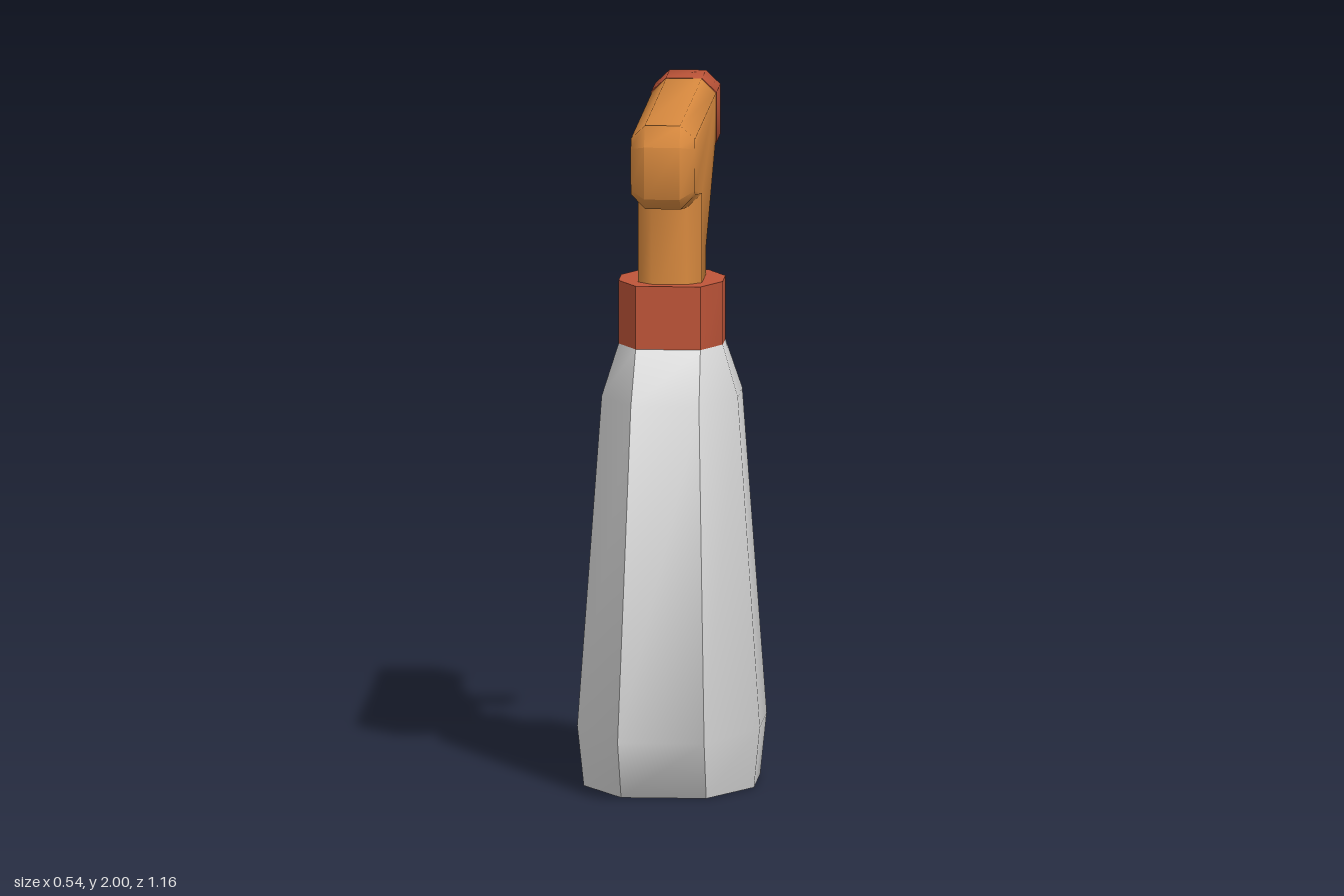
import * as THREE from 'three';
import { toCreasedNormals } from 'three/addons/utils/BufferGeometryUtils.js';

const CREASE = 0.92;

// Octagon at height y: end half width a, side half width b, side half length s, half length l, centre c
function octagon([y, a, b, s, l, c]) {
  return [[b, s], [b, -s], [a, -l], [-a, -l], [-b, -s], [-b, s], [-a, l], [a, l]]
    .map(([x, z]) => [x, y, z + c]);
}

// Closed skin over a stack of octagons, listed from bottom to top
function loft(sections) {
  const n = 8, last = (sections.length - 1) * n, index = [];
  const positions = sections.flatMap(octagon).flat();
  for (let r = 0; r < last; r += n) {
    for (let i = 0; i < n; i++) {
      const j = (i + 1) % n;
      index.push(r + i, r + j, r + n + j, r + i, r + n + j, r + n + i);
    }
  }
  for (let i = 1; i < n - 1; i++) index.push(0, i + 1, i, last, last + i, last + i + 1);
  const g = new THREE.BufferGeometry();
  g.setAttribute('position', new THREE.Float32BufferAttribute(positions, 3));
  g.setIndex(index);
  return toCreasedNormals(g, CREASE);
}

// Side outline given as [z, y], extruded symmetrically across x
function sidePlate(points, width, bevel = 0) {
  const shape = new THREE.Shape(points.map(([z, y]) => new THREE.Vector2(z, y)));
  const depth = width - 2 * bevel;
  const g = new THREE.ExtrudeGeometry(shape, {
    depth, bevelEnabled: bevel > 0, bevelThickness: bevel,
    bevelSize: bevel, bevelOffset: -bevel, bevelSegments: 1,
  });
  g.translate(0, 0, -depth / 2);
  g.rotateY(-Math.PI / 2);
  return toCreasedNormals(g, CREASE);
}

export function createModel() {
  const mat = (name, color) => {
    const m = new THREE.MeshStandardMaterial({ color });
    m.name = name;
    return m;
  };
  const white = mat('bottleWhite', 0xdcdcdc);
  const orange = mat('headOrange', 0xd98a3f);
  const red = mat('trimRed', 0xbf5539);

  const model = new THREE.Group();
  model.name = 'sprayBottle';
  const add = (name, geometry, material) => {
    const mesh = new THREE.Mesh(geometry, material);
    mesh.name = name;
    model.add(mesh);
  };

  // Tapered bottle with a chamfered foot and shoulder
  add('bottle', loft([
    [0, 0.125, 0.25, 0.13, 0.352, 0.112],
    [0.18, 0.127, 0.268, 0.146, 0.469, 0.112],
    [1.15, 0.1, 0.2, 0.094, 0.298, 0.112],
    [1.3, 0.095, 0.153, 0.056, 0.168, 0.112],
  ]), white);

  // Screw collar
  add('collar', loft([
    [1.3, 0.095, 0.153, 0.056, 0.168, 0.112],
    [1.487, 0.095, 0.153, 0.056, 0.168, 0.112],
  ]), red);

  // Barrel, fairing and neck in one piece; the neck runs down into the collar
  add('sprayHead', sidePlate([
    [-0.46, 2], [-0.46, 1.775], [-0.385, 1.775], [-0.01, 1.54], [-0.01, 1.4],
    [0.237, 1.4], [0.237, 1.715], [0.495, 1.75], [0.54, 1.785], [0.546, 1.94], [0.51, 2],
  ].reverse(), 0.188, 0.042), orange);

  // Chamfered end piece sleeved over the barrel
  const tip = loft([
    [0.388, 0.053, 0.096, 0.074, 0.115, 1.886],
    [0.55, 0.053, 0.096, 0.074, 0.115, 1.886],
    [0.58, 0.042, 0.062, 0.055, 0.08, 1.886],
  ]);
  tip.rotateX(-Math.PI / 2);
  add('endCap', tip, red);

  // Bent trigger lever
  add('trigger', sidePlate([
    [-0.15, 1.62], [-0.2, 1.76], [-0.335, 1.76], [-0.308, 1.64],
    [-0.385, 1.42], [-0.495, 1.325], [-0.468, 1.29], [-0.3, 1.387],
  ], 0.09), red);

  return model;
}
